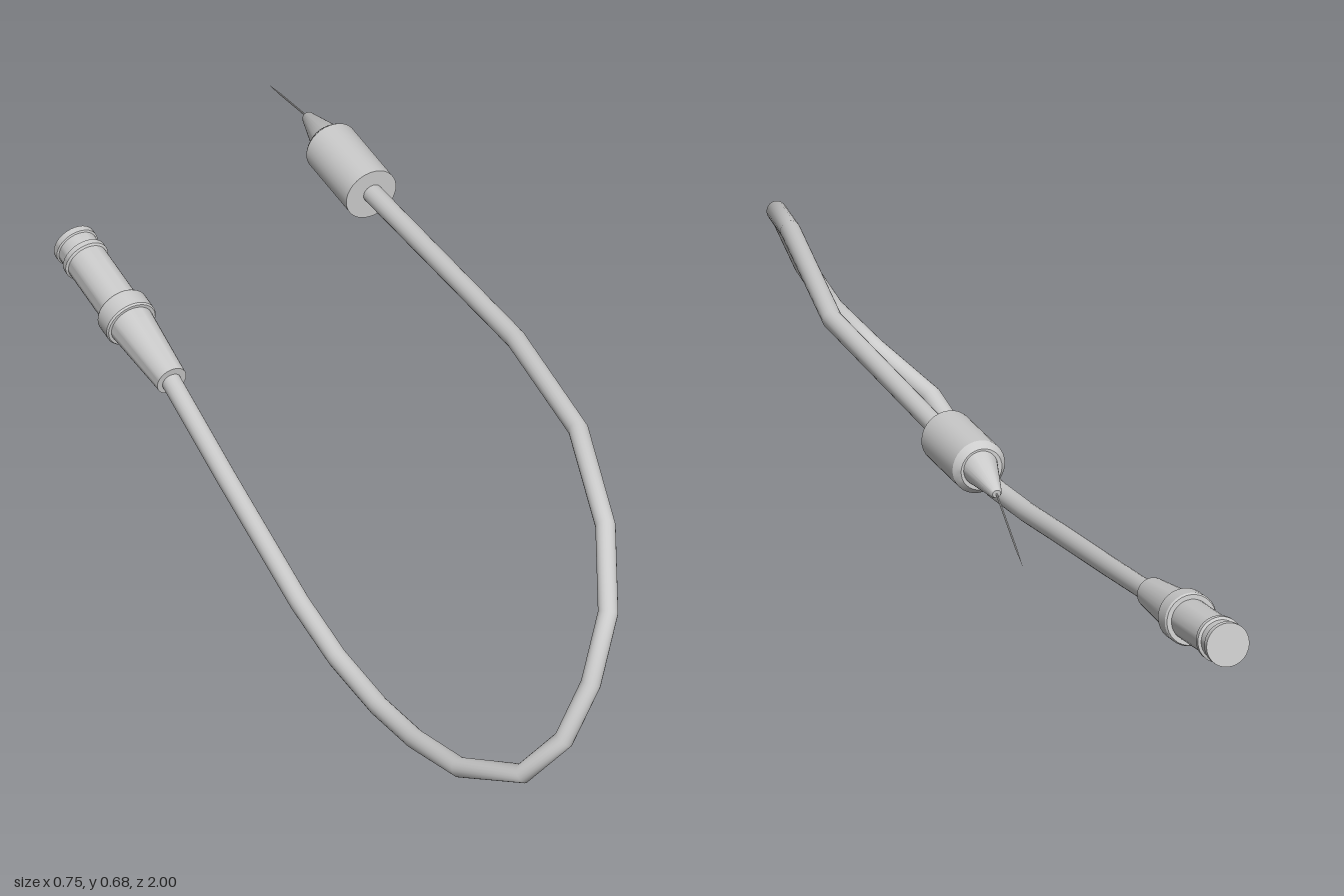
import * as THREE from 'three';
import { toCreasedNormals } from 'three/addons/utils/BufferGeometryUtils.js';

const V = (a) => new THREE.Vector3(...a);

// A path through the given points with straight runs and mitred bends
class BentPath extends THREE.Curve {
  constructor(points) {
    super();
    this.points = points;
  }
  getPoint(t, target = new THREE.Vector3()) {
    const n = this.points.length - 1;
    const i = Math.min(Math.floor(t * n + 1e-6), n - 1);
    return target.lerpVectors(this.points[i], this.points[i + 1], t * n - i);
  }
  getPointAt(t, target) {
    return this.getPoint(t, target);
  }
  getTangentAt(t, target = new THREE.Vector3()) {
    const p = this.points, n = p.length - 1, i = Math.round(t * n);
    target.set(0, 0, 0);
    if (i > 0) target.add(p[i].clone().sub(p[i - 1]).normalize());
    if (i < n) target.add(p[i + 1].clone().sub(p[i]).normalize());
    return target.normalize();
  }
}

export function createModel() {
  const group = new THREE.Group();
  const material = new THREE.MeshStandardMaterial({ color: 0xcccccc, side: THREE.DoubleSide });

  const add = (name, geometry) => {
    const mesh = new THREE.Mesh(geometry, material);
    mesh.name = name;
    group.add(mesh);
    return mesh;
  };

  // Turned part: profile of [radius, distance] running from one point toward another
  const turned = (name, from, to, profile, sides = 32) => {
    const points = profile.map(([r, d]) => new THREE.Vector2(r, d));
    const mesh = add(name, toCreasedNormals(new THREE.LatheGeometry(points, sides), 0.5));
    mesh.position.copy(V(from));
    const axis = V(to).sub(V(from)).normalize();
    mesh.quaternion.setFromUnitVectors(new THREE.Vector3(0, 1, 0), axis);
    return mesh;
  };

  // Cable loop from the probe down and back to the connector
  const cable = [
    [0.27, 0.615, -0.42], [0.2, 0.622, 0.2], [0.092, 0.652, 0.57], [-0.005, 0.58, 0.8],
    [-0.1, 0.478, 0.94], [-0.17, 0.345, 0.975], [-0.24, 0.23, 0.975], [-0.31, 0.143, 0.925],
    [-0.357, 0.085, 0.765], [-0.338, 0.042, 0.58], [-0.315, 0.023, 0.42], [-0.298, 0.04, 0.25],
    [-0.272, 0.072, 0.08], [-0.2, 0.152, -0.28], [-0.14, 0.22, -0.57],
  ].map(V);
  add('cable', new THREE.TubeGeometry(new BentPath(cable), cable.length - 1, 0.0215, 20, false));

  // Probe: grip with bevelled rear, tapered nose and thin needle
  const noseBase = [0.292, 0.626, -0.585], noseTip = [0.317, 0.617, -0.705];
  turned('probeGrip', [0.265, 0.614, -0.405], [0.291, 0.623, -0.59], [
    [0, 0], [0.059, 0], [0.059, 0.178], [0.055, 0.184], [0.046, 0.194], [0, 0.194],
  ]);
  turned('probeNose', noseBase, noseTip, [[0, 0], [0.041, 0], [0.013, 0.118], [0.009, 0.124], [0, 0.124]]);
  turned('needle', noseTip, [0.375, 0.548, -0.92], [[0, 0], [0.002, 0], [0.002, 0.17], [0, 0.233]], 8);

  // Connector: strain relief, collar and plug with a raised ring
  const plugStart = [-0.143, 0.219, -0.553], plugEnd = [-0.079, 0.292, -0.989];
  turned('strainRelief', plugStart, plugEnd, [[0, 0], [0.034, 0], [0.049, 0.19], [0, 0.19]]);
  turned('collar', plugStart, plugEnd, [
    [0, 0.182], [0.055, 0.182], [0.058, 0.186], [0.058, 0.226], [0.055, 0.231], [0, 0.231],
  ]);
  turned('plug', plugStart, plugEnd, [
    [0, 0.225], [0.045, 0.225], [0.045, 0.385], [0.05, 0.388], [0.05, 0.4],
    [0.044, 0.403], [0.044, 0.43], [0.048, 0.432], [0.048, 0.446], [0, 0.446],
  ]);

  return group;
}
